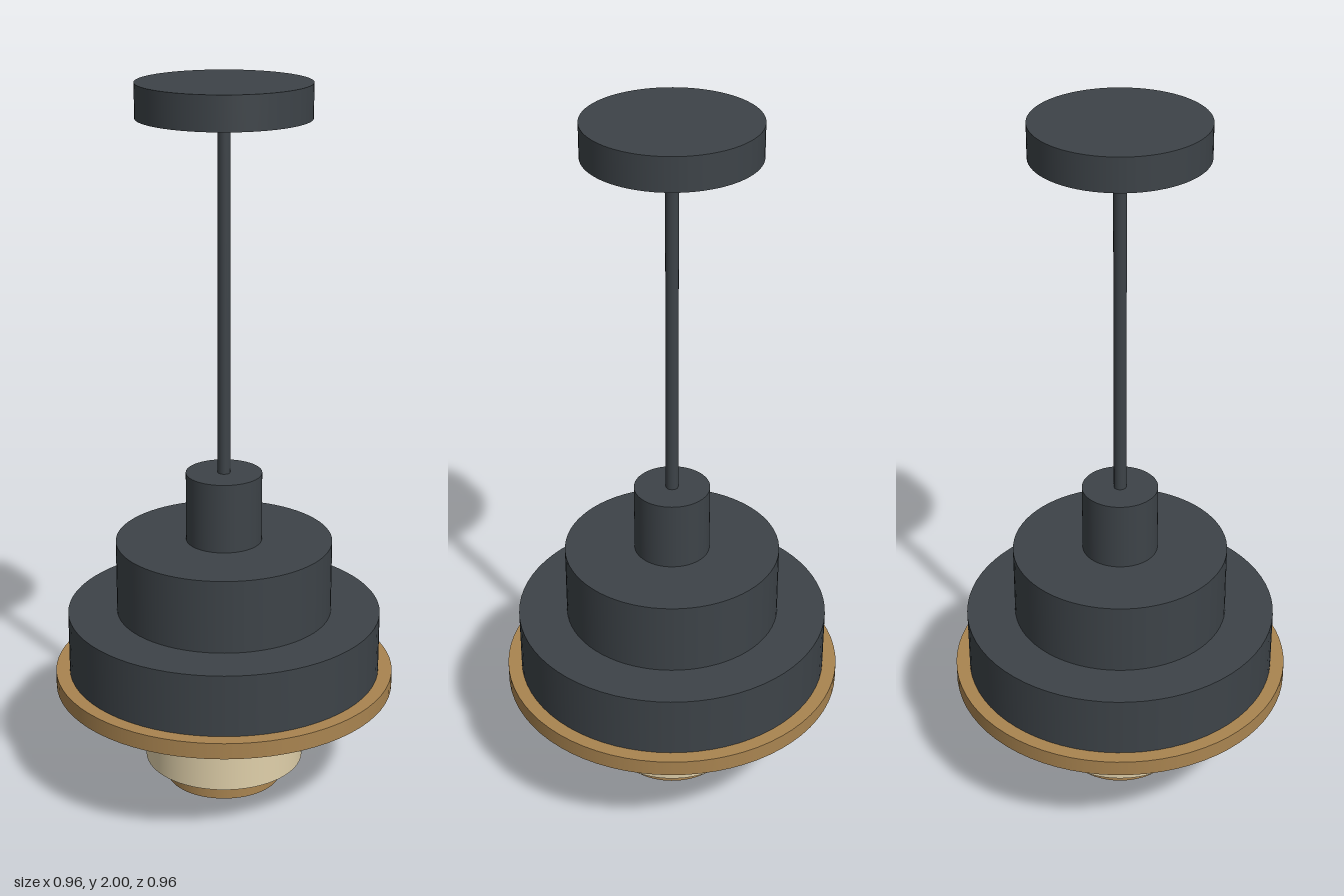
import * as THREE from 'three';

const paint = (name, color) => {
  const m = new THREE.MeshStandardMaterial({ color });
  m.name = name;
  return m;
};

export function createModel() {
  const charcoal = paint('charcoal metal', 0x3d4348);
  const brass = paint('brass', 0xa98450);
  const cream = paint('cream glass', 0xe0d0aa);

  // Stacked discs of the pendant lamp: name, radius, bottom, top, material
  const parts = [
    ['ceilingCanopy', 0.233, 1.908, 2, charcoal],
    ['cord', 0.0175, 0.92, 1.91, charcoal],
    ['socketNeck', 0.106, 0.732, 0.93, charcoal],
    ['upperShadeTier', 0.303, 0.523, 0.732, charcoal],
    ['lowerShadeTier', 0.441, 0.346, 0.523, charcoal],
    ['brassRim', 0.48, 0.3, 0.346, brass],
    ['glassDiffuser', 0.226, 0.063, 0.3, cream],
    ['bottomCap', 0.165, 0, 0.063, brass],
  ];

  const lamp = new THREE.Group();
  lamp.name = 'pendantLamp';
  for (const [name, radius, bottom, top, material] of parts) {
    const sides = radius < 0.05 ? 20 : 72;
    const mesh = new THREE.Mesh(new THREE.CylinderGeometry(radius, radius, top - bottom, sides), material);
    mesh.position.y = (bottom + top) / 2;
    mesh.name = name;
    lamp.add(mesh);
  }
  return lamp;
}
